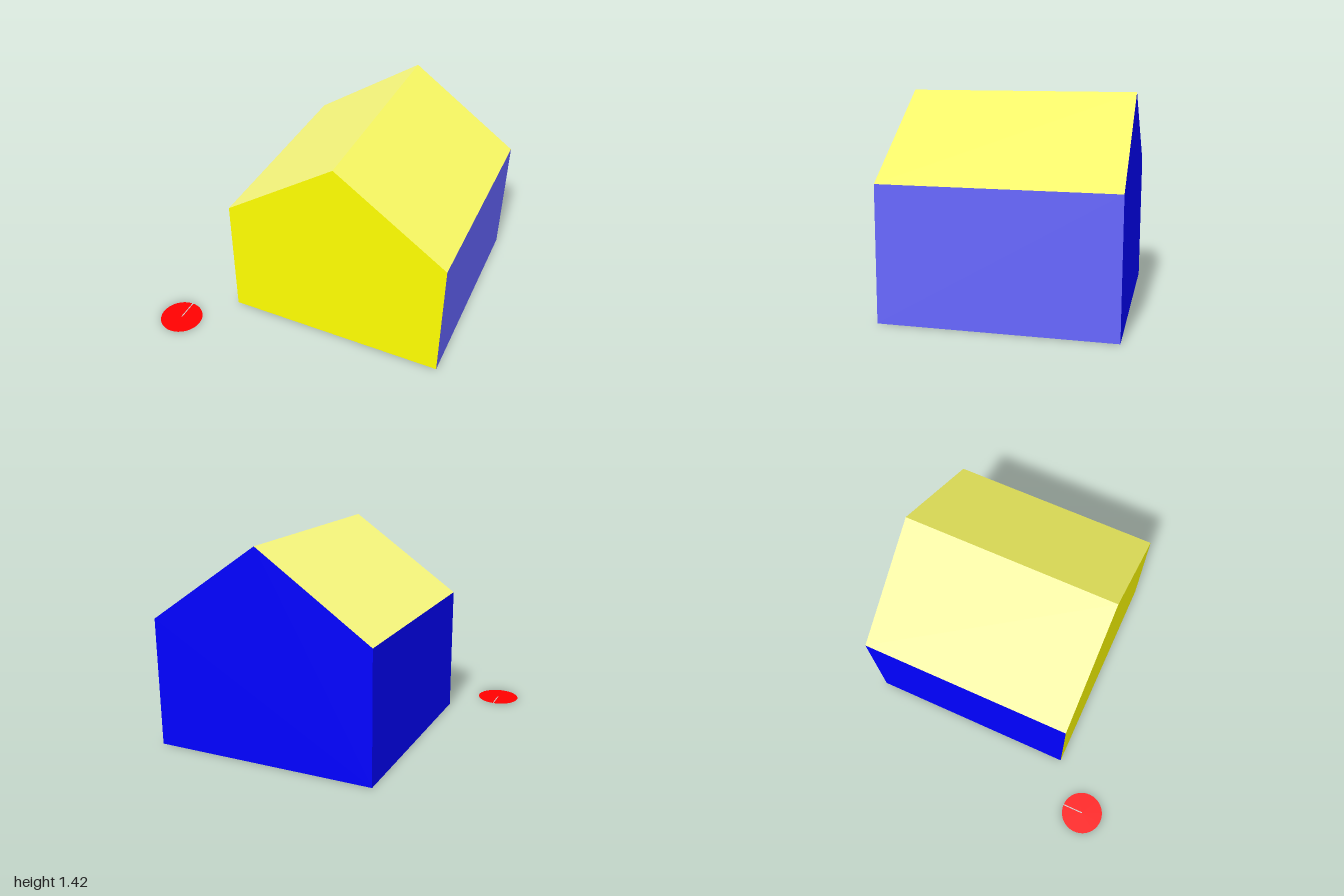
import * as THREE from 'three';

const LEFT = 1, RIGHT = -0.55, RIDGE = 0.225, EAVE = 0.885, TOP = 1.42;
const FRONT = 0.525, BACK = -0.985;

export function createModel() {
  const house = new THREE.Group();
  house.name = 'house';

  const add = (name, geometry, color) => {
    const material = new THREE.MeshStandardMaterial({ color, side: THREE.DoubleSide, flatShading: true });
    const mesh = new THREE.Mesh(geometry, material);
    mesh.name = name;
    house.add(mesh);
    return mesh;
  };

  // House outline, counter-clockwise from the ground on the left side
  const outline = [[LEFT, 0], [LEFT, EAVE], [RIDGE, TOP], [RIGHT, EAVE], [RIGHT, 0]]
    .map(([x, y]) => new THREE.Vector2(x, y));

  // Gable walls; the floor stays open
  add('frontWall', new THREE.ShapeGeometry(new THREE.Shape(outline)), 0xffff00).position.z = FRONT;
  const mirrored = outline.map((p) => new THREE.Vector2(-p.x, p.y)).reverse();
  const backWall = add('backWall', new THREE.ShapeGeometry(new THREE.Shape(mirrored)), 0x0000ff);
  backWall.rotation.y = Math.PI;
  backWall.position.z = BACK;

  // Side walls and roof slopes, one panel for each outline segment
  const panels = [
    ['leftWall', 0x6666ff],
    ['leftRoof', 0xffff66],
    ['rightRoof', 0xffff80],
    ['rightWall', 0x0000ff],
  ];
  panels.forEach(([name, color], i) => {
    const a = outline[i], b = outline[i + 1];
    const geometry = new THREE.PlaneGeometry(FRONT - BACK, a.distanceTo(b)).rotateY(Math.PI / 2);
    const panel = add(name, geometry, color);
    panel.rotation.z = Math.atan2(a.x - b.x, b.y - a.y);
    panel.position.set((a.x + b.x) / 2, (a.y + b.y) / 2, (FRONT + BACK) / 2);
  });

  // Flat compass on the ground with a thin needle pointing to the back
  const R = 0.15;
  const disc = add('compassDisc', new THREE.CircleGeometry(R, 64).rotateX(-Math.PI / 2), 0xff0000);
  disc.position.set(-0.85, 0, 0.83);
  const needle = add('compassNeedle', new THREE.PlaneGeometry(0.008, R).rotateX(-Math.PI / 2), 0xcccccc);
  needle.position.set(-0.85, 0.002, 0.83 - R / 2);

  return house;
}
